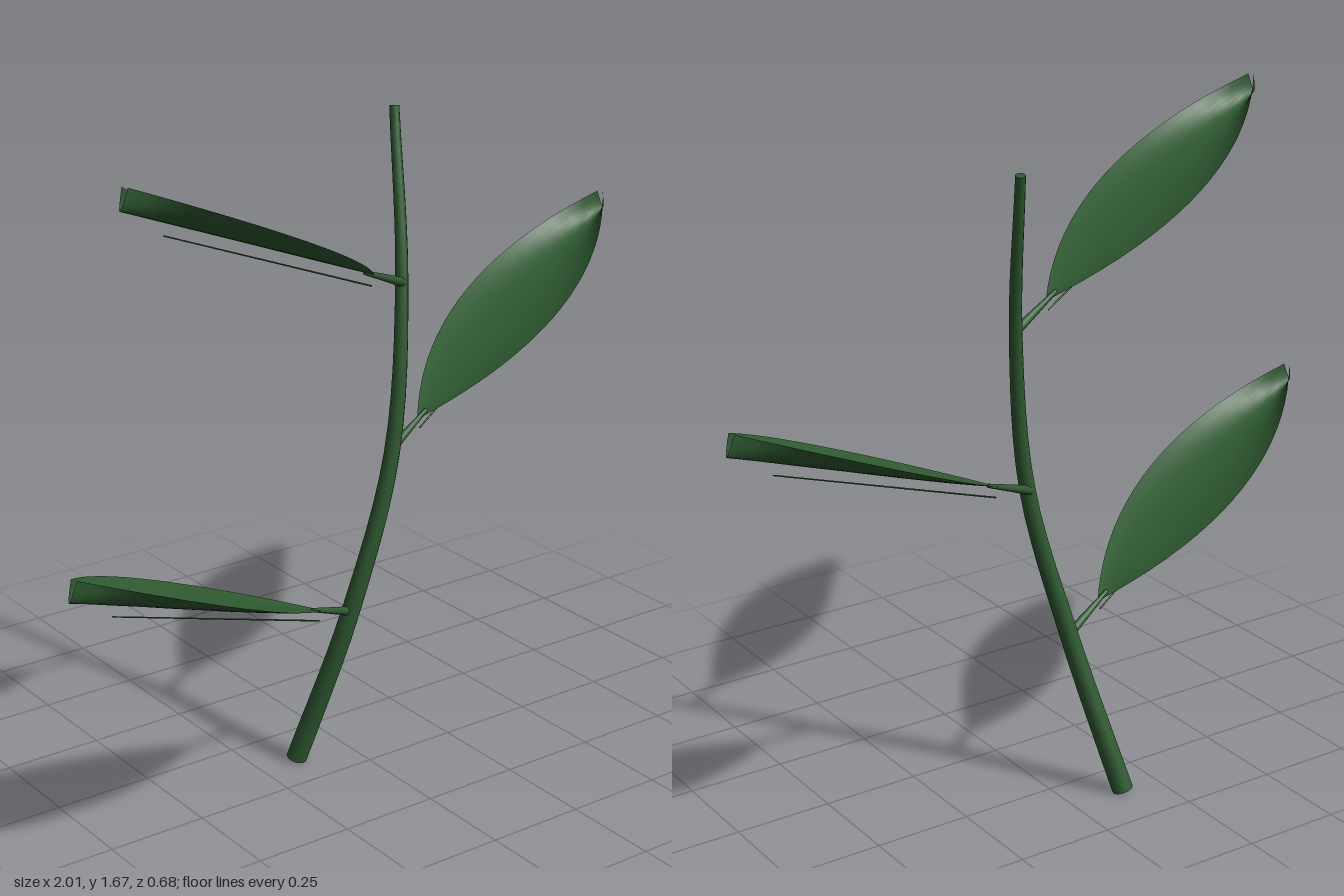
import * as THREE from 'three';

const green = new THREE.MeshStandardMaterial({ color: 0x2f5a31, side: THREE.DoubleSide });
green.name = 'leaf green';

// Tapered stem: a capped cylinder bent along a curve
function makeStem(curve) {
  const geo = new THREE.CylinderGeometry(0.012, 0.027, 1, 12, 24);
  const pos = geo.attributes.position;
  const up = new THREE.Vector3(0, 1, 0);
  const q = new THREE.Quaternion();
  const v = new THREE.Vector3();
  for (let i = 0; i < pos.count; i++) {
    const t = THREE.MathUtils.clamp(pos.getY(i) + 0.5, 0, 1);
    q.setFromUnitVectors(up, curve.getTangent(t));
    v.set(pos.getX(i), 0, pos.getZ(i)).applyQuaternion(q).add(curve.getPoint(t));
    pos.setXYZ(i, v.x, Math.max(0, v.y), v.z);
  }
  geo.computeVertexNormals();
  const stem = new THREE.Mesh(geo, green);
  stem.name = 'stem';
  return stem;
}

// Blade along +x: cupped across, with a straight keel and edges that rise toward the tip
function makeBlade() {
  const start = 0.128, length = 0.95;
  const geo = new THREE.PlaneGeometry(1, 2, 20, 12).rotateX(-Math.PI / 2);
  const pos = geo.attributes.position;
  for (let i = 0; i < pos.count; i++) {
    const t = pos.getX(i) + 0.5;
    const u = pos.getZ(i);
    const halfWidth = 0.138 * 4 * t * (1 - t) + 0.008 * t;
    const cup = 0.05 * Math.pow(t, 0.85);
    pos.setXYZ(i, start + length * t, cup * u * u, u * halfWidth);
  }
  geo.computeVertexNormals();
  const blade = new THREE.Mesh(geo, green);
  blade.name = 'leafBlade';
  return blade;
}

// Thin rod along +x
function makeRod(name, x0, x1, y, r0, r1) {
  const geo = new THREE.CylinderGeometry(r1, r0, x1 - x0, 8).rotateZ(-Math.PI / 2);
  const rod = new THREE.Mesh(geo, green);
  rod.position.set((x0 + x1) / 2, y, 0);
  rod.name = name;
  return rod;
}

function makeLeaf(x, y, z, yaw) {
  const leaf = new THREE.Group();
  leaf.name = 'leaf';
  leaf.add(
    makeRod('leafStalk', 0, 0.17, 0, 0.012, 0.005),
    makeBlade(),
    makeRod('midVein', 0.13, 0.925, -0.026, 0.002, 0.0015)
  );
  leaf.position.set(x, y, z);
  leaf.rotation.set(0, yaw, 0.37, 'YXZ');
  return leaf;
}

export function createModel() {
  const model = new THREE.Group();
  model.name = 'leafySprig';

  const curve = new THREE.CatmullRomCurve3([
    new THREE.Vector3(-0.145, 0.005, -0.112),
    new THREE.Vector3(-0.05, 0.42, -0.01),
    new THREE.Vector3(0.052, 0.82, 0.02),
    new THREE.Vector3(0.106, 1.23, -0.015),
    new THREE.Vector3(0.155, 1.63, -0.112)
  ]);
  model.add(makeStem(curve));

  // Leaves alternate sides up the stem
  const yaw = 0.325;
  model.add(
    makeLeaf(-0.05, 0.42, -0.01, Math.PI + yaw),
    makeLeaf(0.052, 0.82, 0.01, yaw),
    makeLeaf(0.106, 1.23, -0.01, Math.PI + yaw)
  );
  return model;
}
